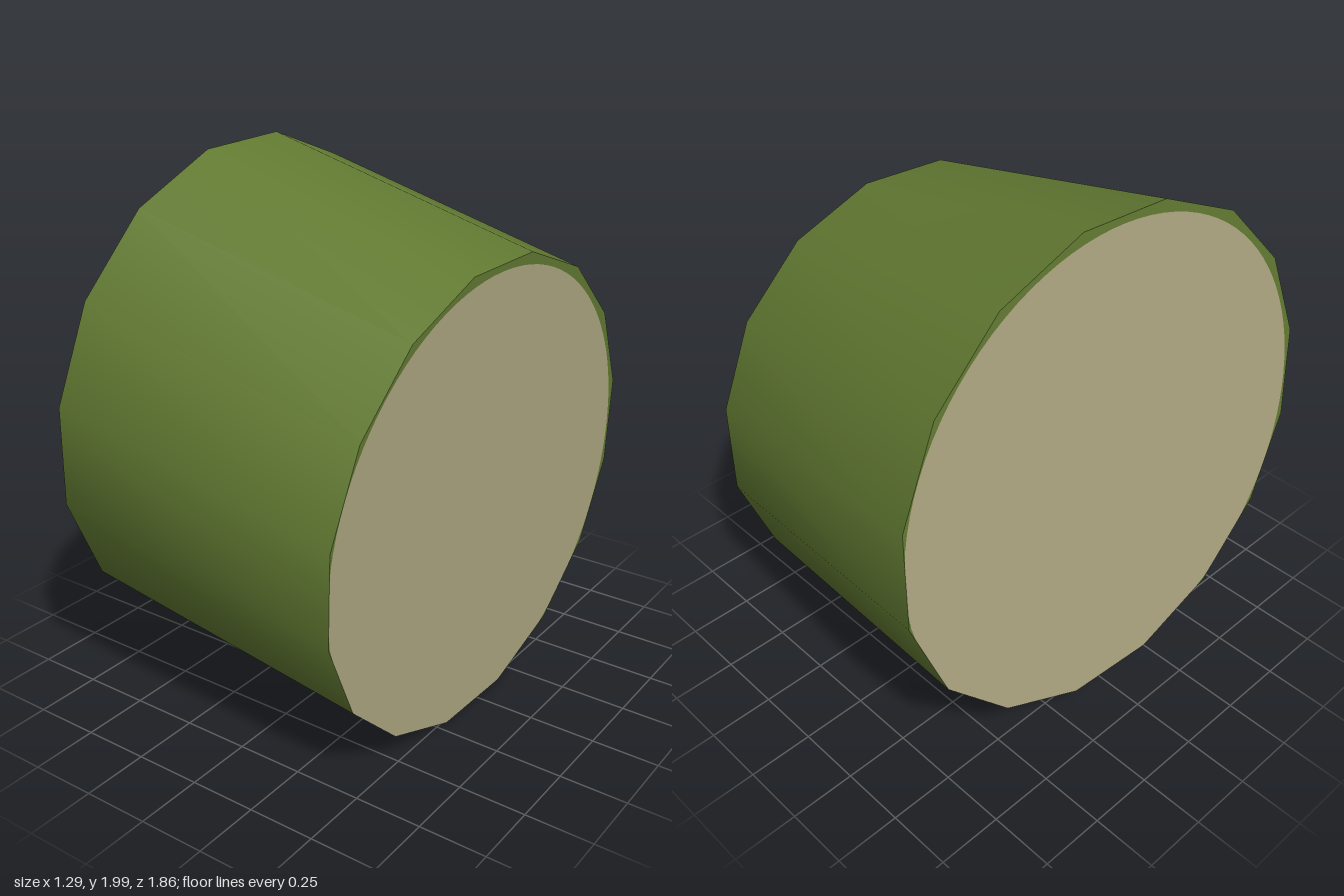
import * as THREE from 'three';

const SIDES = 16;
const PHASE = -9 * Math.PI / 180;
const STEP = 2 * Math.PI / SIDES;

// Each end is a tilted 16-sided ring: centre, radius, lean of x with y and z,
// and the centre shift (sy, sz) and radius (wr) of the bare wood inside the bark.
const LEFT_END = { x: -0.573, y: 1.07, z: 0, r: 0.942, ky: 0.068, kz: -0.033, sy: -0.022, sz: -0.01, wr: 0.92 };
const RIGHT_END = { x: 0.573, y: 0.866, z: 0.07, r: 0.871, ky: 0.06, kz: -0.054, sy: -0.02, sz: 0.01, wr: 0.85 };

// Point on an end plane at angle t (from up towards +z) and distance d
function endPoint(e, t, d) {
  const dy = d * Math.cos(t), dz = d * Math.sin(t);
  return [e.x + e.ky * dy + e.kz * dz, e.y + dy, e.z + dz];
}

// Distance from the ring centre to its polygon edge at angle t
function polygonRadius(e, t) {
  const a = (((t - PHASE) % STEP) + STEP) % STEP;
  return e.r * Math.cos(STEP / 2) / Math.cos(a - STEP / 2);
}

// Distance to the shifted wood circle, clipped by the polygon
function woodRadius(e, t) {
  const along = e.sy * Math.cos(t) + e.sz * Math.sin(t);
  const shift2 = e.sy * e.sy + e.sz * e.sz;
  const circle = along + Math.sqrt(e.wr * e.wr - shift2 + along * along);
  return Math.min(circle, polygonRadius(e, t));
}

function makeGeometry(positions, index) {
  const g = new THREE.BufferGeometry();
  g.setAttribute('position', new THREE.Float32BufferAttribute(positions, 3));
  g.setIndex(index);
  g.computeVertexNormals();
  return g;
}

// Tapered bark wall between the two ends, with smooth normals
function barkWall() {
  const pos = [], index = [];
  for (let i = 0; i < SIDES; i++) {
    const t = PHASE + i * STEP;
    pos.push(...endPoint(LEFT_END, t, LEFT_END.r), ...endPoint(RIGHT_END, t, RIGHT_END.r));
    const a = 2 * i, b = 2 * ((i + 1) % SIDES);
    index.push(a, b, b + 1, a, b + 1, a + 1);
  }
  return makeGeometry(pos, index);
}

// Flat band on an end plane between two radius functions
function endBand(e, inner, outer) {
  const n = SIDES * 6, pos = [], index = [];
  for (let i = 0; i < n; i++) {
    const t = PHASE + i * 2 * Math.PI / n;
    pos.push(...endPoint(e, t, inner(e, t)), ...endPoint(e, t, outer(e, t)));
    const a = 2 * i, b = 2 * ((i + 1) % n);
    if (e.x > 0) index.push(a, a + 1, b + 1, a, b + 1, b);
    else index.push(a, b + 1, a + 1, a, b, b + 1);
  }
  const g = makeGeometry(pos, index);
  // One shared flat normal for the whole plane
  const nrm = new THREE.Vector3(1, -e.ky, -e.kz).normalize().multiplyScalar(Math.sign(e.x));
  const normals = g.getAttribute('normal');
  for (let i = 0; i < normals.count; i++) normals.setXYZ(i, nrm.x, nrm.y, nrm.z);
  return g;
}

export function createModel() {
  const bark = new THREE.MeshStandardMaterial({ color: 0x627a32 });
  bark.name = 'mossy green bark';
  const wood = new THREE.MeshStandardMaterial({ color: 0xb0a882 });
  wood.name = 'pale cut wood';

  const model = new THREE.Group();
  model.name = 'logSection';
  const add = (name, geometry, material) => {
    const mesh = new THREE.Mesh(geometry, material);
    mesh.name = name;
    model.add(mesh);
  };

  add('barkWall', barkWall(), bark);
  for (const [side, e] of [['right', LEFT_END], ['left', RIGHT_END]]) {
    add(side + 'CutFace', endBand(e, () => 0, woodRadius), wood);
    add(side + 'BarkRim', endBand(e, woodRadius, polygonRadius), bark);
  }
  return model;
}
